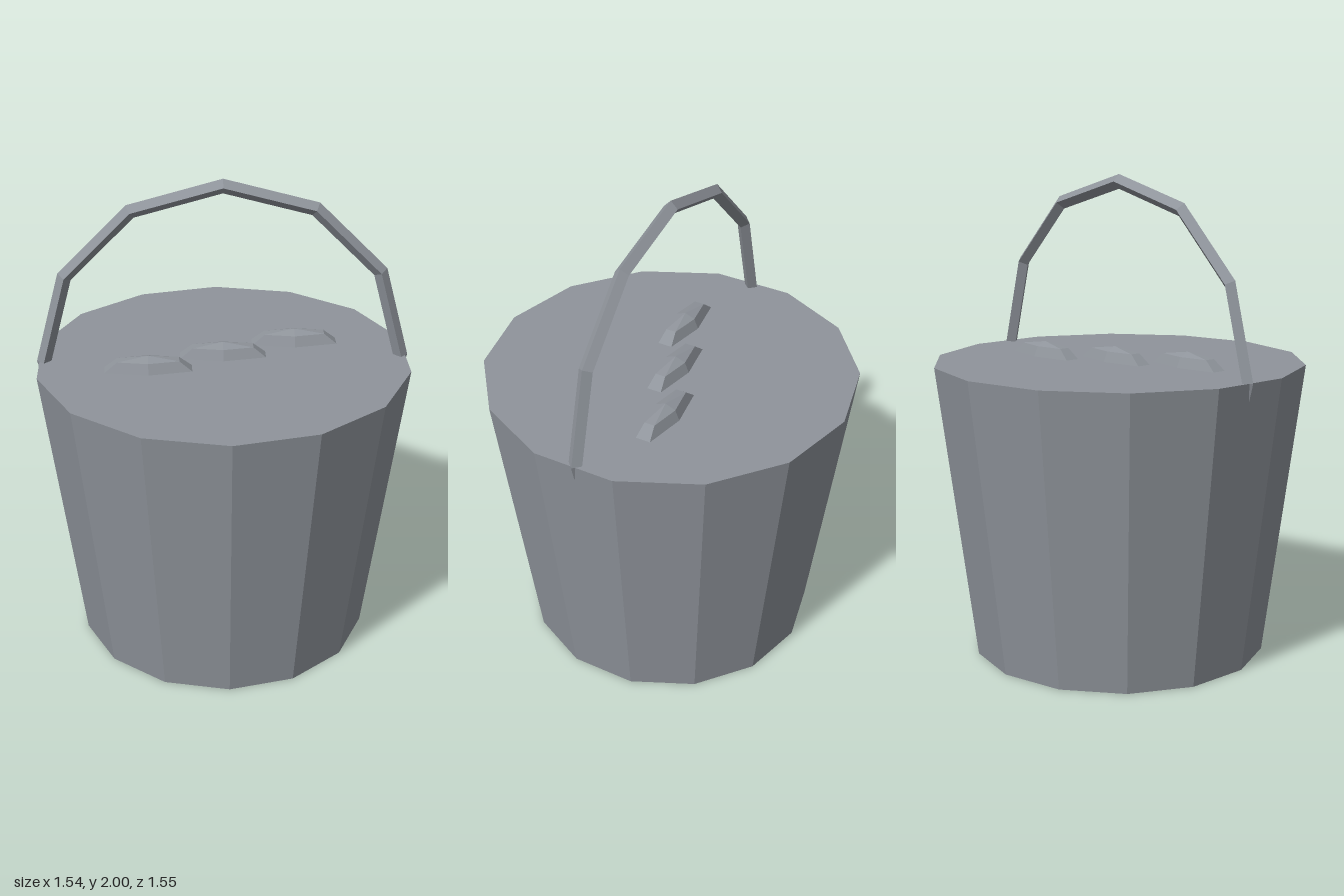
import * as THREE from 'three';

const RIM_Y = 1.232;

export function createModel() {
  const steel = new THREE.MeshStandardMaterial({ color: 0x8f949b });
  const model = new THREE.Group();
  model.name = 'bucket';

  const add = (name, geometry, x, y, z) => {
    // unshared corners with face normals give the faceted look
    const flat = geometry.toNonIndexed();
    flat.computeVertexNormals();
    const mesh = new THREE.Mesh(flat, steel);
    mesh.name = name;
    mesh.position.set(x, y, z);
    model.add(mesh);
  };

  // Tapered, filled pail with 14 sides
  add('pail', new THREE.CylinderGeometry(0.777, 0.617, RIM_Y, 14), 0, RIM_Y / 2, 0);

  // Hoop with a diamond section; its lower half sits inside the pail
  add('handle', new THREE.TorusGeometry(0.738, 0.03, 4, 12), 0, RIM_Y, 0);

  // Three flattened lumps, half sunk into the top surface
  const lump = new THREE.SphereGeometry(1, 6, 4).rotateY(Math.PI / 6).scale(0.206, 0.06, 0.062);
  [[-0.309, 0.101], [0, -0.022], [0.307, -0.147]].forEach(([x, z], i) => {
    add(`lump${i + 1}`, lump, x, RIM_Y, z);
  });

  return model;
}
